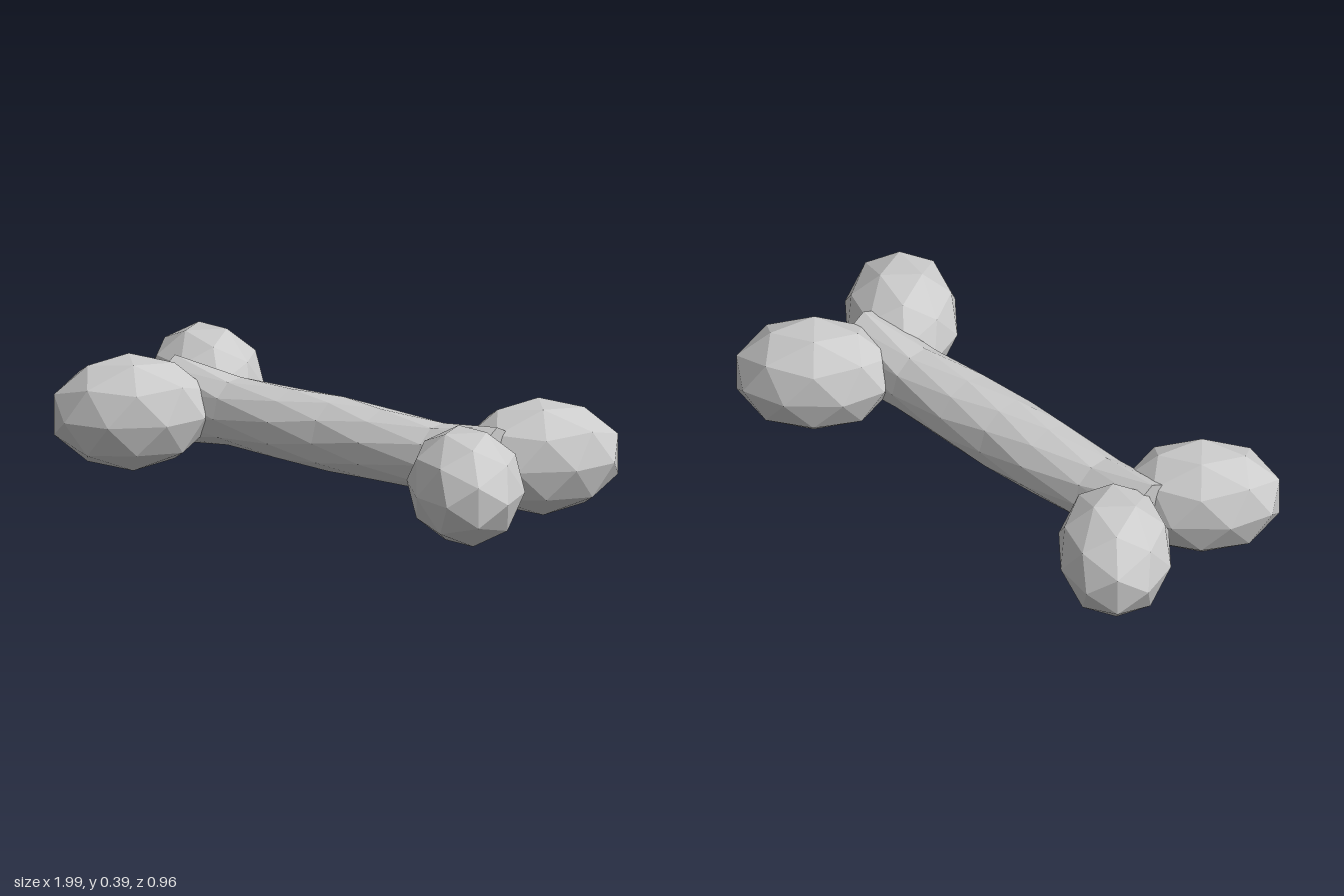
import * as THREE from 'three';
import { ConvexGeometry } from 'three/addons/geometries/ConvexGeometry.js';

const MID = 0.195; // height of the bone's long axis
const SIDES = 10;

// Faceted egg: corners and face centres of a dodecahedron, stretched along local x
function knobGeometry() {
  const g = (1 + Math.sqrt(5)) / 2;
  const pts = [];
  const add = (x, y, z) => pts.push(new THREE.Vector3(x, y, z).normalize().multiply(new THREE.Vector3(0.295, 0.209, 0.209)));
  for (const a of [-1, 1]) for (const b of [-1, 1]) {
    for (const c of [-1, 1]) add(a, b, c);
    add(a * g, b / g, 0);
    add(0, a * g, b / g);
    add(a / g, 0, b * g);
    add(a * g, 0, b);
    add(a, b * g, 0);
    add(0, a, b * g);
  }
  return new ConvexGeometry(pts);
}

// Shaft: oval rings, each turned half a step from the last, giving diamond facets
function shaftGeometry() {
  const rings = [ // x, half height, half depth
    [-0.715, 0.16, 0.1], [-0.45, 0.122, 0.126], [-0.2, 0.13, 0.146], [0, 0.134, 0.145],
    [0.2, 0.13, 0.146], [0.45, 0.122, 0.126], [0.715, 0.16, 0.1],
  ];
  const pos = [], index = [];
  rings.forEach(([x, h, d], r) => {
    for (let i = 0; i < SIDES; i++) {
      const a = ((i + (r % 2) / 2) / SIDES) * Math.PI * 2;
      pos.push(x, h * Math.cos(a), d * Math.sin(a));
    }
  });
  for (let r = 0; r < rings.length - 1; r++) {
    for (let i = 0; i < SIDES; i++) {
      const j = (i + 1) % SIDES;
      const a = r * SIDES + i, b = r * SIDES + j;
      const c = a + SIDES, d = b + SIDES;
      if (r % 2) index.push(a, d, c, a, b, d);
      else index.push(a, b, c, b, d, c);
    }
  }
  // End caps
  const last = (rings.length - 1) * SIDES;
  for (let i = 1; i < SIDES - 1; i++) {
    index.push(0, i + 1, i);
    index.push(last, last + i, last + i + 1);
  }
  const geo = new THREE.BufferGeometry();
  geo.setAttribute('position', new THREE.Float32BufferAttribute(pos, 3));
  geo.setIndex(index);
  const flat = geo.toNonIndexed();
  flat.computeVertexNormals();
  return flat;
}

export function createModel() {
  const model = new THREE.Group();
  model.name = 'bone';
  const mat = new THREE.MeshStandardMaterial({ color: 0xcccccc, flatShading: true, side: THREE.DoubleSide });

  const shaft = new THREE.Mesh(shaftGeometry(), mat);
  shaft.name = 'shaft';
  shaft.position.y = MID;
  model.add(shaft);

  // Two knobs at each end, splayed outward on the diagonals
  const knobGeo = knobGeometry();
  for (const sx of [-1, 1]) for (const sz of [-1, 1]) {
    const knob = new THREE.Mesh(knobGeo, mat);
    knob.name = (sz > 0 ? 'front' : 'back') + (sx > 0 ? 'Left' : 'Right') + 'Knob';
    knob.position.set(sx * 0.737, MID, sz * (sx === sz ? 0.213 : 0.228));
    knob.rotation.y = -sx * sz * THREE.MathUtils.degToRad(43.5);
    model.add(knob);
  }
  return model;
}
